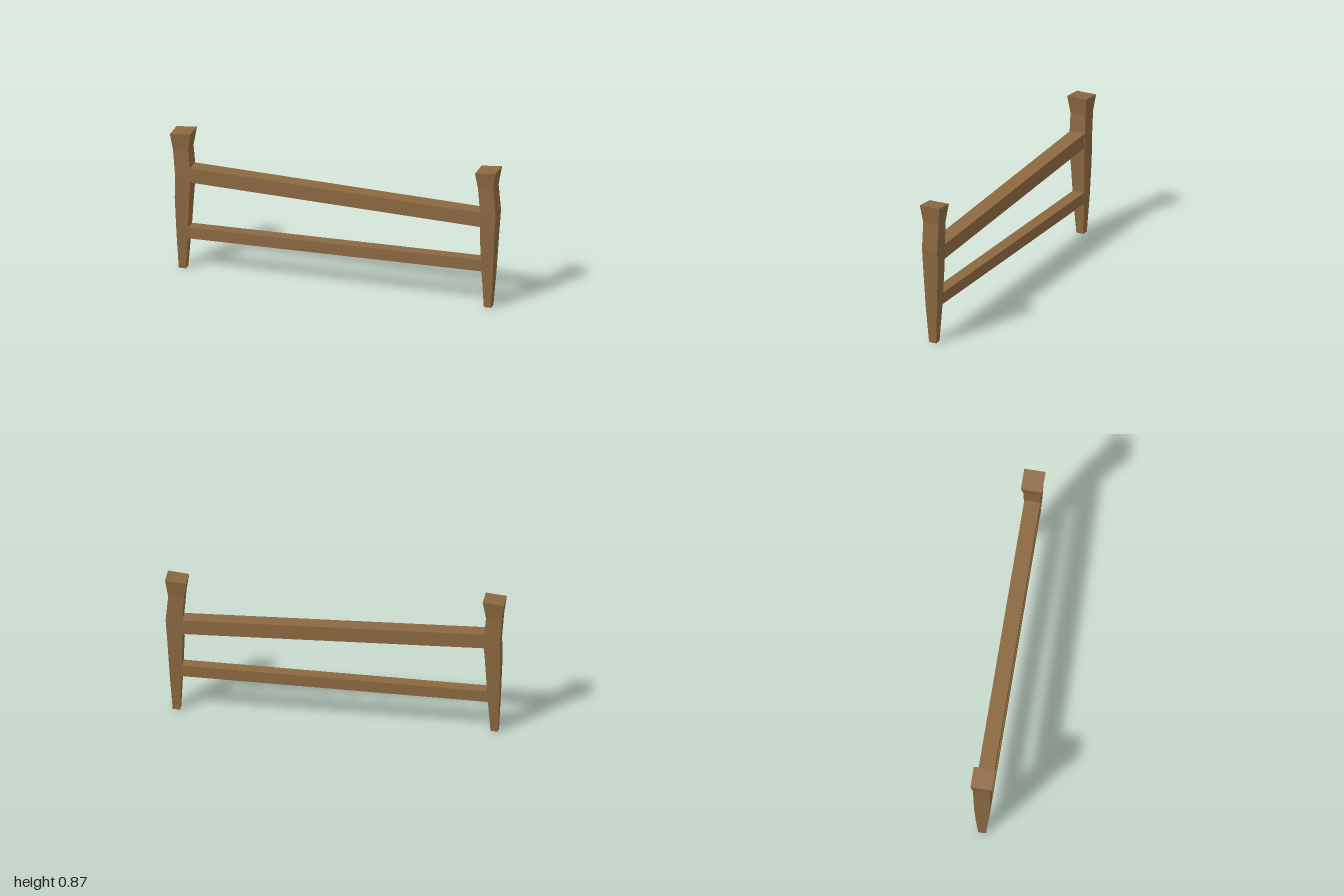
import * as THREE from 'three';

// Stacks four-sided rings (corner points in order) into a closed beam.
function loft(rings, material, name) {
  const pos = [];
  const quad = (a, b, c, d) => [a, b, c, a, c, d].forEach((p) => pos.push(...p));
  for (let i = 0; i < rings.length - 1; i++) {
    for (let j = 0; j < 4; j++) {
      const k = (j + 1) % 4;
      quad(rings[i][j], rings[i][k], rings[i + 1][k], rings[i + 1][j]);
    }
  }
  const top = rings[rings.length - 1];
  quad(...top);
  quad(...[...rings[0]].reverse());
  const geometry = new THREE.BufferGeometry();
  geometry.setAttribute('position', new THREE.Float32BufferAttribute(pos, 3));
  geometry.computeVertexNormals();
  const mesh = new THREE.Mesh(geometry, material);
  mesh.name = name;
  return mesh;
}

export function createModel() {
  const group = new THREE.Group();
  group.name = 'fence';
  const wood = new THREE.MeshStandardMaterial({ color: 0x8b6840, flatShading: true });
  wood.name = 'brown wood';

  // Post sections: left x, right x, left y, right y, half depth
  const sections = [
    [-0.022, 0.022, 0, 0, 0.023],
    [-0.031, 0.037, 0.22, 0.22, 0.037],
    [-0.039, 0.05, 0.45, 0.45, 0.046],
    [-0.036, 0.06, 0.6, 0.6, 0.05],
    [-0.049, 0.045, 0.76, 0.76, 0.05],
    [-0.063, 0.062, 0.858, 0.871, 0.063],
  ];
  const postRings = sections.map(([l, r, yl, yr, d]) => [
    [l, yl, d], [r, yr, d], [r, yr, -d], [l, yl, -d],
  ]);
  for (const [x, name] of [[-0.937, 'rightPost'], [0.937, 'leftPost']]) {
    const post = loft(postRings, wood, name);
    post.position.x = x;
    group.add(post);
  }

  // Sloping rails: bottom and top heights at each end, half depth
  const rail = (name, x, [b0, t0], [b1, t1], d) => {
    const ring = (px, b, t) => [[px, b, d], [px, b, -d], [px, t, -d], [px, t, d]];
    group.add(loft([ring(-x, b0, t0), ring(x, b1, t1)], wood, name));
  };
  rail('upperRail', 0.93, [0.561, 0.651], [0.515, 0.605], 0.047);
  rail('lowerRail', 0.93, [0.199, 0.268], [0.231, 0.301], 0.037);

  return group;
}
